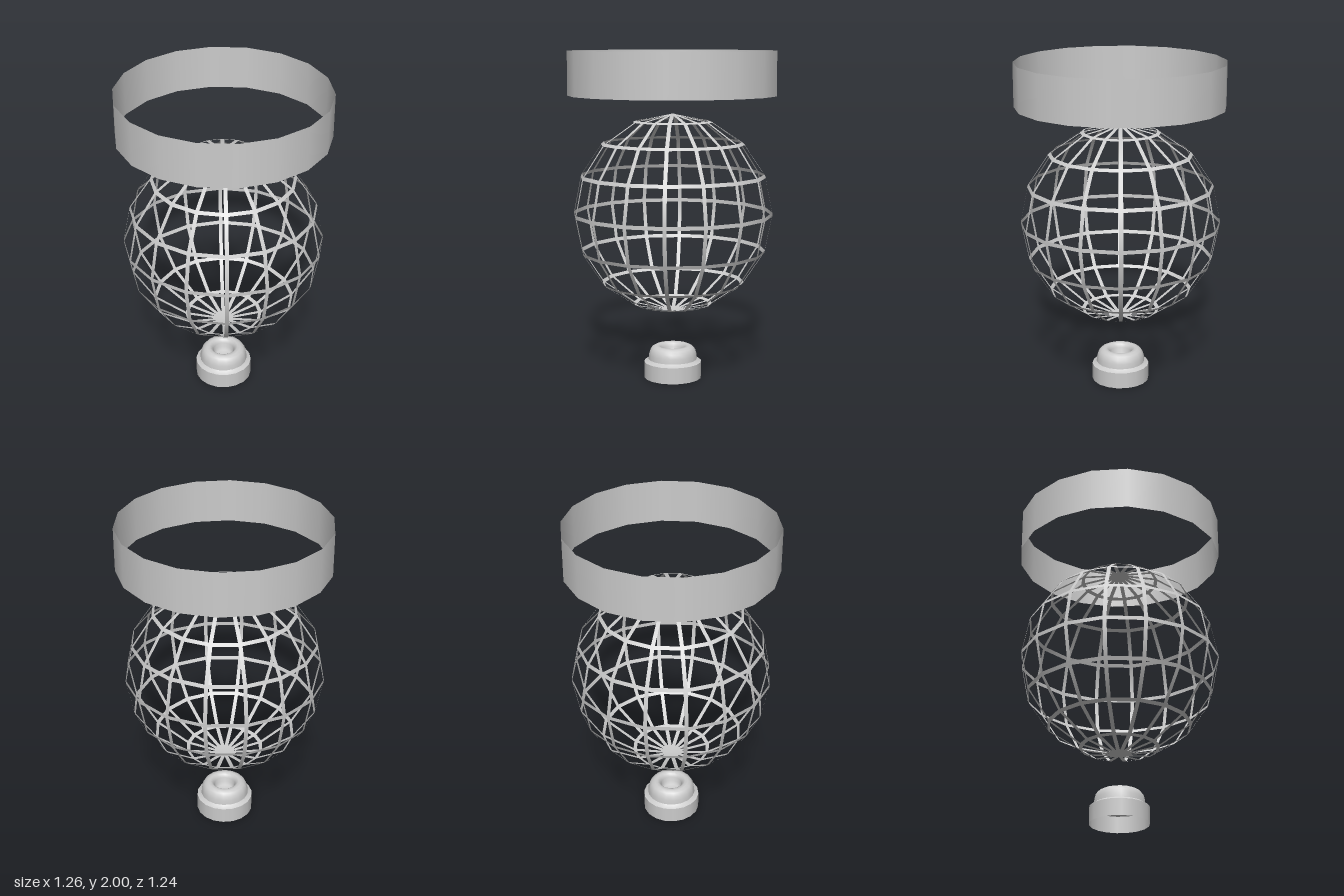
import * as THREE from 'three';

const material = new THREE.MeshStandardMaterial({ color: 0xcccccc, side: THREE.DoubleSide });
const STEP = Math.PI / 8;
const R = 0.603, CENTER_Y = 1.022, WIDTH = 0.023;

function add(parent, name, geometry, y = 0) {
  const mesh = new THREE.Mesh(geometry, material);
  mesh.name = name;
  mesh.position.y = y;
  parent.add(mesh);
  return mesh;
}

// Surface of revolution with a corner on the x axis
function turned(points) {
  return new THREE.LatheGeometry(points.map(([r, y]) => new THREE.Vector2(r, y)), 18, Math.PI / 2);
}

export function createModel() {
  const model = new THREE.Group();
  model.name = 'cagedGlobe';

  // Thin open band on top
  add(model, 'topBand', new THREE.CylinderGeometry(0.628, 0.628, 0.265, 18, 1, true, Math.PI / 2), 1.8675);

  // Globe cage of flat ribbons
  const cage = new THREE.Group();
  cage.name = 'globeCage';
  cage.position.y = CENTER_Y;
  model.add(cage);

  // Upright hoops, each forming two opposite meridians
  for (let i = 0; i < 8; i++) {
    const hoop = new THREE.CylinderGeometry(R, R, WIDTH, 16, 1, true);
    hoop.rotateX(Math.PI / 2);
    hoop.rotateY(i * STEP);
    add(cage, 'meridianHoop', hoop);
  }

  // Level rings, sloped to follow the sphere
  for (let i = -3; i <= 3; i++) {
    const lat = i * STEP;
    const r = R * Math.cos(lat);
    const lean = (WIDTH / 2) * Math.sin(lat);
    const ring = new THREE.CylinderGeometry(r - lean, r + lean, WIDTH * Math.cos(lat), 16, 1, true);
    add(cage, 'latitudeRing', ring, R * Math.sin(lat));
  }

  // Base cap: straight rim, shoulder, and rounded collar with a hollow
  const base = new THREE.Group();
  base.name = 'baseCap';
  model.add(base);
  add(base, 'baseRim', turned([[0.176, 0], [0.176, 0.1]]));
  add(base, 'baseShoulder', turned([[0.176, 0.1], [0.162, 0.106], [0.15, 0.116]]));
  add(base, 'baseCollar', turned([
    [0.15, 0.116], [0.147, 0.145], [0.14, 0.17], [0.127, 0.188], [0.108, 0.198],
    [0.09, 0.199], [0.076, 0.19], [0.066, 0.172], [0.062, 0.145], [0.05, 0.125], [0, 0.12],
  ]));

  return model;
}
